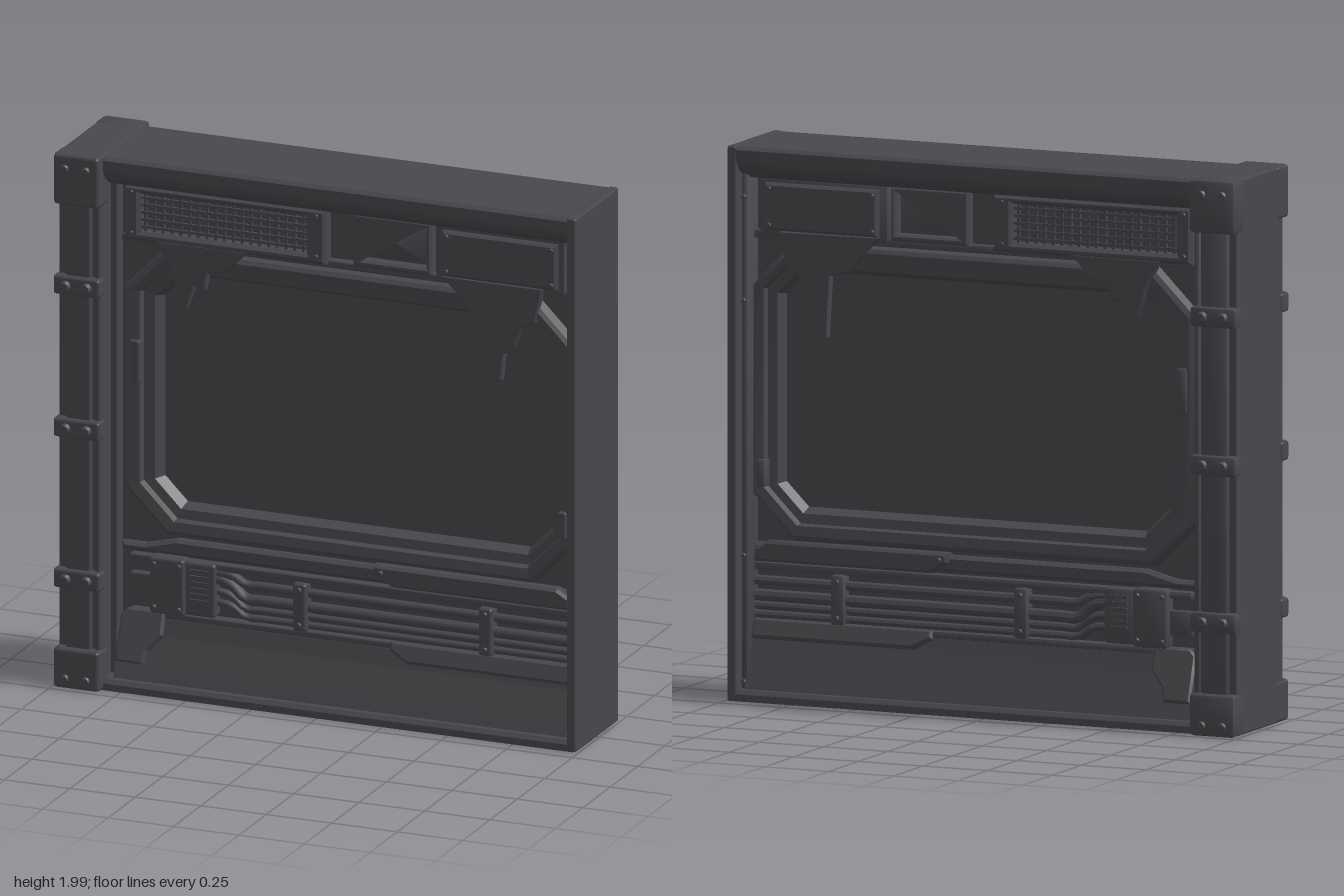
import * as THREE from 'three';
import { toCreasedNormals } from 'three/addons/utils/BufferGeometryUtils.js';
import { RoundedBoxGeometry } from 'three/addons/geometries/RoundedBoxGeometry.js';

export function createModel() {
  const root = new THREE.Group();
  root.name = 'wallPanel';
  const metal = new THREE.MeshStandardMaterial({ color: 0x48474c });
  metal.name = 'dark metal';

  const put = (name, geo) => {
    const m = new THREE.Mesh(geo, metal);
    m.name = name;
    root.add(m);
  };
  // mirror a geometry through the z = 0 plane, keeping faces outward
  const mirrored = (geo) => {
    const g = geo.index ? geo.toNonIndexed() : geo.clone();
    g.scale(1, 1, -1);
    for (const at of Object.values(g.attributes)) {
      const n = at.itemSize;
      for (let i = 0; i < at.count; i += 3) {
        for (let k = 0; k < n; k++) {
          const a = (i + 1) * n + k, b = (i + 2) * n + k;
          [at.array[a], at.array[b]] = [at.array[b], at.array[a]];
        }
      }
    }
    g.computeVertexNormals();
    return toCreasedNormals(g, 0.6);
  };
  // the same part on the front and the back
  const both = (name, geo) => {
    put(name + 'Front', geo);
    put(name + 'Back', mirrored(geo));
  };
  const block = (x0, x1, y0, y1, z0, z1, r = 0.008) => {
    const g = r
      ? new RoundedBoxGeometry(x1 - x0, y1 - y0, z1 - z0, 1, r)
      : new THREE.BoxGeometry(x1 - x0, y1 - y0, z1 - z0);
    return g.translate((x0 + x1) / 2, (y0 + y1) / 2, (z0 + z1) / 2);
  };
  const toShape = (pts, holes = []) => {
    const s = new THREE.Shape(pts.map((p) => new THREE.Vector2(...p)));
    s.holes = holes.map((h) => new THREE.Path(h.map((p) => new THREE.Vector2(...p))));
    return s;
  };
  const plate = (pts, z0, z1, bevel = 0, holes = []) =>
    new THREE.ExtrudeGeometry(toShape(pts, holes), {
      depth: z1 - z0 - bevel, bevelEnabled: bevel > 0, bevelThickness: bevel,
      bevelSize: bevel, bevelOffset: -bevel, bevelSegments: 1,
    }).translate(0, 0, z0);
  const rect = (x0, x1, y0, y1) => [[x0, y0], [x1, y0], [x1, y1], [x0, y1]];
  const octagon = (x0, x1, y0, y1, c) => [
    [x0 + c, y0], [x1 - c, y0], [x1, y0 + c], [x1, y1 - c],
    [x1 - c, y1], [x0 + c, y1], [x0, y1 - c], [x0, y0 + c]];
  // skin nested octagons, each [x0, x1, y0, y1, chamfer, z], from the outside in
  const octagonLoft = (sections) => {
    const loops = sections.map(([x0, x1, y0, y1, c, z]) => octagon(x0, x1, y0, y1, c).map((p) => [...p, z]));
    const pos = [];
    for (let s = 0; s + 1 < loops.length; s++) {
      for (let i = 0; i < 8; i++) {
        const j = (i + 1) % 8, [o, n] = [loops[s], loops[s + 1]];
        pos.push(...o[i], ...o[j], ...n[j], ...o[i], ...n[j], ...n[i]);
      }
    }
    const g = new THREE.BufferGeometry();
    g.setAttribute('position', new THREE.Float32BufferAttribute(pos, 3));
    g.computeVertexNormals();
    return g;
  };
  // (z, y) profile run along x
  const beam = (profile, x0, x1) =>
    new THREE.ExtrudeGeometry(toShape(profile), { depth: x1 - x0, bevelEnabled: false })
      .rotateY(-Math.PI / 2).translate(x1, 0, 0);
  const bolt = (x, y, z, r = 0.016, h = 0.012) =>
    both('bolt', new THREE.CylinderGeometry(r * 0.7, r, h, 10).rotateX(Math.PI / 2).translate(x, y, z + h / 2));

  // core slab, whose face is the sunken screen
  put('screenCore', block(-0.98, 0.98, 0.01, 1.97, -0.03, 0.03, 0));

  // outer frame: top beam, bottom sill, right edge
  both('topBeam', beam([[0, 1.984], [0.185, 1.984], [0.197, 1.972], [0.195, 1.93], [0.178, 1.9], [0.12, 1.866], [0, 1.866]], -0.9, 0.98));
  both('bottomSill', beam([[0, 0.005], [0.197, 0.005], [0.197, 0.03], [0.185, 0.045], [0, 0.045]], -0.9, 0.98));
  put('rightEdge', block(0.955, 0.992, 0.004, 1.986, -0.198, 0.198));
  both('rightInnerLip', block(0.935, 0.96, 0.04, 1.88, 0.02, 0.15));
  both('leftInnerLip', block(-0.835, -0.795, 0.04, 1.88, 0.02, 0.11));
  for (const y of [0.07, 0.52, 1.43, 1.8]) bolt(0.947, y, 0.15, 0.009);

  // corner pillar with end caps and straps
  put('pillarCore', block(-0.986, -0.82, 0.005, 1.988, -0.195, 0.195));
  both('pillarRib', block(-0.955, -0.855, 0.1, 1.88, 0.17, 0.213, 0.012));
  both('pillarEdge', block(-0.845, -0.822, 0.1, 1.88, 0.15, 0.207));
  for (const [y0, y1, t] of [[0.005, 0.155, 0.25], [1.8, 1.99, 0.72]]) {
    both('pillarCap', block(-0.991, -0.815, y0, y1, 0.14, 0.236, 0.014));
    for (const x of [-0.945, -0.865]) bolt(x, y0 + (y1 - y0) * t, 0.235, 0.017, 0.01);
  }
  for (const y of [0.41, 0.97, 1.5]) {
    both('pillarStrap', block(-0.994, -0.815, y - 0.036, y + 0.036, 0.17, 0.23, 0.012));
    for (const x of [-0.945, -0.865]) bolt(x, y, 0.229, 0.021, 0.016);
  }

  // facing plate with the window opening, then the stepped window frame
  both('facingPlate', plate(rect(-0.83, 0.96, 0.02, 1.9), 0, 0.06, 0, [octagon(-0.69, 0.87, 0.66, 1.56, 0.1)]));
  both('windowFrame', octagonLoft([
    [-0.785, 0.95, 0.57, 1.645, 0.165, 0.055],
    [-0.775, 0.94, 0.58, 1.635, 0.16, 0.095],
    [-0.755, 0.925, 0.595, 1.62, 0.15, 0.105],
    [-0.715, 0.895, 0.63, 1.6, 0.13, 0.1],
    [-0.71, 0.89, 0.635, 1.595, 0.128, 0.072],
    [-0.67, 0.855, 0.67, 1.55, 0.1, 0.068],
    [-0.645, 0.835, 0.69, 1.53, 0.085, 0.029]]));
  both('frameClip', block(-0.75, -0.71, 1.13, 1.29, 0.06, 0.115));
  both('frameClip', block(0.885, 0.92, 0.76, 0.86, 0.06, 0.115));

  // upper row: grille, hollow bay, cover plate
  both('upperLedge', block(-0.79, 0.94, 1.645, 1.675, 0.03, 0.09));
  both('grilleFrame', plate(rect(-0.77, 0, 1.66, 1.865), 0.05, 0.115, 0.012, [rect(-0.71, -0.075, 1.695, 1.835)]));
  for (let i = 0; i < 19; i++) {
    const x = -0.695 + i * 0.0335;
    both('grilleBar', block(x - 0.005, x + 0.005, 1.69, 1.84, 0.086, 0.096, 0));
  }
  for (let i = 0; i < 5; i++) {
    const y = 1.711 + i * 0.027;
    both('grilleWire', block(-0.715, -0.07, y - 0.005, y + 0.005, 0.09, 0.1, 0));
  }
  for (const y of [1.69, 1.84]) for (const x of [-0.74, -0.035]) bolt(x, y, 0.113, 0.009, 0.008);
  both('bayFrame', plate(rect(0.1, 0.4, 1.67, 1.865), 0.05, 0.105, 0.008, [rect(0.12, 0.38, 1.695, 1.85)]));
  both('bayPyramid', new THREE.CylinderGeometry(0.04, 0.707, 1, 4, 1).toNonIndexed().rotateY(Math.PI / 4)
    .rotateX(Math.PI / 2).scale(0.26, 0.155, 0.03).translate(0.25, 1.7725, 0.074));
  both('coverBack', block(0.415, 0.91, 1.66, 1.865, 0.05, 0.1));
  both('coverPlate', plate(rect(0.445, 0.885, 1.68, 1.85), 0.09, 0.12, 0.01));
  for (const x of [0.465, 0.865]) for (const y of [1.7, 1.83]) bolt(x, y, 0.119, 0.009, 0.008);

  // ragged hanging drips
  both('leftDrip', plate([[-0.65, 1.67], [-0.59, 1.56], [-0.565, 1.47], [-0.53, 1.43], [-0.5, 1.52], [-0.46, 1.51],
    [-0.45, 1.57], [-0.38, 1.585], [-0.3, 1.67]], 0.088, 0.112, 0.006));
  both('rightDrip', plate([[0.44, 1.68], [0.5, 1.62], [0.55, 1.55], [0.63, 1.53], [0.643, 1.31], [0.672, 1.32],
    [0.682, 1.42], [0.72, 1.45], [0.75, 1.52], [0.8, 1.55], [0.83, 1.68]], 0.088, 0.112, 0.006));

  // ledge under the window
  both('lowerLedge', plate([[-0.79, 0.5], [0.94, 0.5], [0.94, 0.56], [-0.58, 0.56], [-0.7, 0.53], [-0.79, 0.53]], 0.03, 0.09, 0.012));
  both('ledgeBar', plate([[0.25, 0.495], [0.93, 0.495], [0.93, 0.54], [0.88, 0.57], [0.18, 0.57], [0.18, 0.535]], 0.07, 0.11, 0.01));
  bolt(0.21, 0.545, 0.109, 0.01);

  // pipe bay with pipes, straps and junction box
  both('bayTopRail', block(-0.76, 0.94, 0.462, 0.49, 0.03, 0.09));
  both('bayBottomRail', block(-0.76, 0.94, 0.262, 0.288, 0.03, 0.095));
  [[0.455, 0.425, 0.017], [0.43, 0.372, 0.021], [0.385, 0.335, 0.014], [0.345, 0.304, 0.014]].forEach(([y0, y1, r]) => {
    const path = new THREE.CatmullRomCurve3([[-0.46, y0], [-0.4, y0], [-0.36, (y0 + y1) / 2 + 0.008], [-0.32, y1], [-0.25, y1], [0.94, y1]]
      .map(([x, y]) => new THREE.Vector3(x, y, 0.076)), false, 'centripetal');
    both('pipe', new THREE.TubeGeometry(path, 40, r, 8));
  });
  both('leftPipe', block(-0.76, -0.66, 0.33, 0.42, 0.05, 0.085));
  for (const x of [-0.103, 0.607]) {
    both('pipeStrap', block(x - 0.027, x + 0.027, 0.285, 0.465, 0.05, 0.11, 0.012));
    for (const y of [0.31, 0.44]) bolt(x, y, 0.109, 0.011, 0.008);
  }
  both('junctionBox', block(-0.675, -0.54, 0.285, 0.495, 0.05, 0.115, 0.012));
  both('ventBox', block(-0.545, -0.425, 0.29, 0.49, 0.05, 0.105, 0.012));
  for (let i = 0; i < 6; i++) both('ventSlat', block(-0.52, -0.45, 0.345 + i * 0.022, 0.355 + i * 0.022, 0.1, 0.112, 0));
  for (const x of [-0.655, -0.56]) for (const y of [0.31, 0.47]) bolt(x, y, 0.114, 0.01, 0.008);

  // lower skirting, leaning out towards the sill
  both('skirting', beam([[0.03, 0.04], [0.165, 0.04], [0.155, 0.07], [0.105, 0.2], [0.09, 0.262], [0.03, 0.262]], -0.79, 0.94));
  const lean = (geo) => geo.rotateX(-0.33).translate(0, 0.01, 0.065);
  both('skirtingCorner', lean(plate([[-0.785, 0.06], [-0.68, 0.06], [-0.67, 0.11], [-0.62, 0.17], [-0.62, 0.255], [-0.76, 0.255], [-0.785, 0.23]], 0.09, 0.125, 0.008)));
  both('skirtingBar', lean(plate([[0.24, 0.225], [0.31, 0.185], [0.935, 0.185], [0.935, 0.258], [0.24, 0.258]], 0.08, 0.125, 0.01)));

  return root;
}
